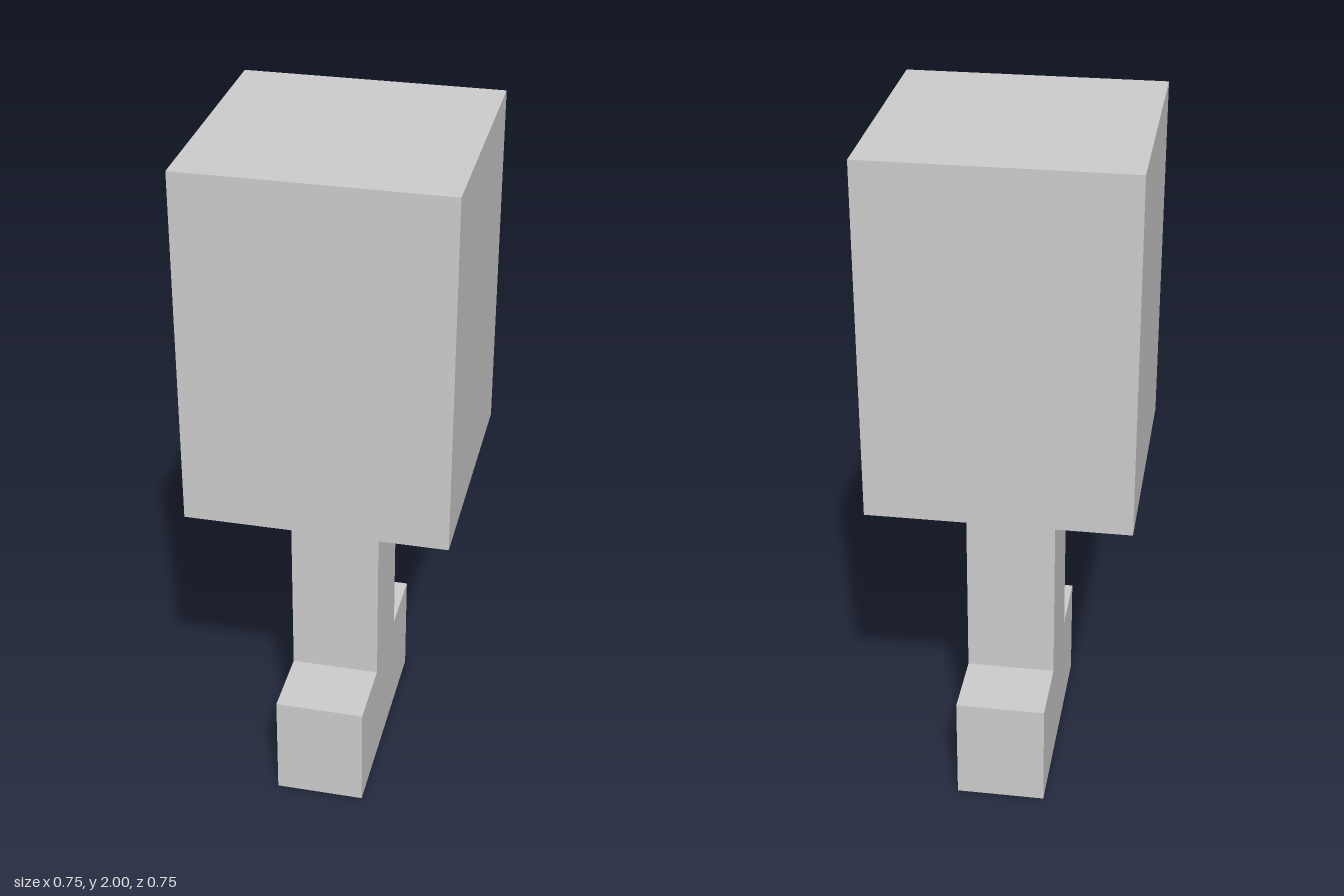
import * as THREE from 'three';

export function createModel() {
  const group = new THREE.Group();
  const material = new THREE.MeshStandardMaterial({ color: 0xcccccc, flatShading: true });

  const headBase = 0.968, headWidth = 0.746;
  const stemHalf = 0.13, footHalf = 0.342, footHeight = 0.318;

  // Head: large block on top
  const headHeight = 2 - headBase;
  const head = new THREE.Mesh(new THREE.BoxGeometry(headWidth, headHeight, headWidth), material);
  head.name = 'head';
  head.position.y = headBase + headHeight / 2;
  group.add(head);

  // Stem and foot: one inverted-T profile, extruded across the width
  const profile = new THREE.Shape([
    [-footHalf, 0], [footHalf, 0], [footHalf, footHeight], [stemHalf, footHeight],
    [stemHalf, headBase], [-stemHalf, headBase], [-stemHalf, footHeight], [-footHalf, footHeight],
  ].map(([z, y]) => new THREE.Vector2(z, y)));
  const geometry = new THREE.ExtrudeGeometry(profile, { depth: stemHalf * 2, bevelEnabled: false });
  geometry.translate(0, 0, -stemHalf).rotateY(Math.PI / 2);
  const stand = new THREE.Mesh(geometry, material);
  stand.name = 'stemAndFoot';
  group.add(stand);

  return group;
}
